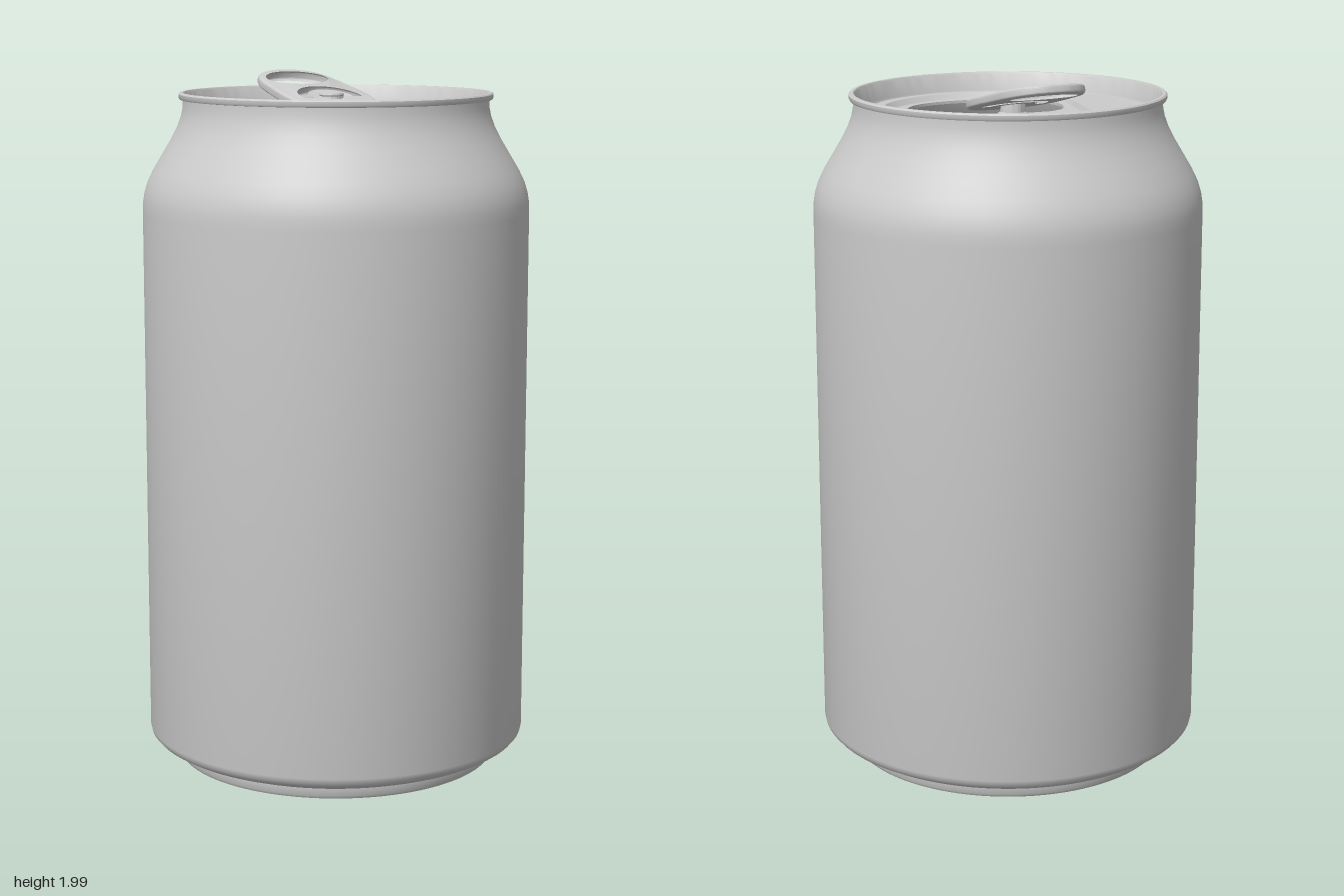
import * as THREE from 'three';
import { toCreasedNormals } from 'three/addons/utils/BufferGeometryUtils.js';

const metal = new THREE.MeshStandardMaterial({ color: 0xcccccc, side: THREE.DoubleSide });
const LID_Y = 1.885, PANEL_Y = 1.868;

function part(name, geometry, parent) {
  const mesh = new THREE.Mesh(geometry, metal);
  mesh.name = name;
  parent.add(mesh);
  return mesh;
}

// Points are [x, z] in plan; smooth curve through them
function smoothLoop(points, closed, count) {
  const v = points.map(([x, z]) => new THREE.Vector3(x, 0, z));
  const loop = new THREE.CatmullRomCurve3(v, closed, 'centripetal').getPoints(count);
  if (closed) loop.pop();
  return loop.map((p) => new THREE.Vector2(p.x, p.z));
}

const circle = (r, count) => Array.from({ length: count }, (_, i) => {
  const a = (i / count) * Math.PI * 2;
  return new THREE.Vector2(r * Math.cos(a), r * Math.sin(a));
});

// Plan outline to shape; laying it down with rotateX(-90 deg) restores z
function planShape(loop, holes = []) {
  const flip = (l) => l.map((p) => new THREE.Vector2(p.x, -p.y));
  const shape = new THREE.Shape(flip(loop));
  shape.holes = holes.map((h) => new THREE.Path(flip(h)));
  return shape;
}

const sheet = (loop, holes, y) =>
  new THREE.ShapeGeometry(planShape(loop, holes)).rotateX(-Math.PI / 2).translate(0, y, 0);

// Skin between closed plan loops at given heights
function loft(rings) {
  const n = rings[0].loop.length, pos = [], index = [];
  for (const { loop, y } of rings) for (const p of loop) pos.push(p.x, y, p.y);
  for (let r = 0; r < rings.length - 1; r++) {
    for (let i = 0; i < n; i++) {
      const a = r * n + i, b = r * n + ((i + 1) % n);
      index.push(a, b, a + n, b, b + n, a + n);
    }
  }
  const g = new THREE.BufferGeometry();
  g.setAttribute('position', new THREE.Float32BufferAttribute(pos, 3));
  g.setIndex(index);
  g.computeVertexNormals();
  return g;
}

function lathe(points, segments = 128, crease = 0.6) {
  const g = new THREE.LatheGeometry(points.map(([r, y]) => new THREE.Vector2(r, y)), segments);
  return toCreasedNormals(g, crease);
}

function scaled(loop, cx, cz, k) {
  return loop.map((p) => new THREE.Vector2(cx + (p.x - cx) * k, cz + (p.y - cz) * k));
}

export function createModel() {
  const can = new THREE.Group();
  can.name = 'drinkCan';

  // Domed base with standing ring
  part('base', lathe([
    [0, 0.085], [0.2, 0.082], [0.34, 0.073], [0.395, 0.06], [0.425, 0.038], [0.438, 0.012],
    [0.445, 0.003], [0.453, 0], [0.462, 0.003], [0.468, 0.012], [0.469, 0.035],
  ].map(([r, y]) => [r, y])), can);

  // Straight wall with tapered foot and curved neck
  part('body', lathe([
    [0.469, 0.035], [0.485, 0.04], [0.515, 0.052], [0.537, 0.065], [0.547, 0.077], [0.55, 0.09],
    [0.55, 1.6], [0.549, 1.63], [0.545, 1.655], [0.536, 1.685], [0.52, 1.718], [0.495, 1.76],
    [0.468, 1.805], [0.45, 1.84], [0.439, 1.87], [0.434, 1.895], [0.433, 1.916],
  ]), can);

  // Rolled seam and the groove inside it
  part('rim', lathe([
    [0.433, 1.916], [0.442, 1.917], [0.445, 1.922], [0.445, 1.932], [0.441, 1.936], [0.432, 1.936],
    [0.428, 1.931], [0.421, 1.885], [0.417, 1.876], [0.411, 1.872], [0.405, 1.875], [0.401, 1.882],
    [0.395, LID_Y],
  ]), can);

  // Lid with a sunken teardrop panel
  const teardrop = smoothLoop([
    [-0.15, -0.25], [0.05, -0.22], [0.25, -0.185], [0.335, -0.13], [0.37, -0.03], [0.355, 0.13],
    [0.27, 0.26], [0.13, 0.34], [0.02, 0.315], [-0.13, 0.19], [-0.28, 0.05], [-0.335, -0.05],
    [-0.33, -0.14], [-0.26, -0.22],
  ], true, 120);
  const shrink = (k) => scaled(teardrop, 0.02, 0.03, k);
  part('lid', sheet(circle(0.395, 128), [teardrop], LID_Y), can);
  part('panelStep', loft([
    { loop: teardrop, y: LID_Y }, { loop: shrink(0.988), y: LID_Y - 0.002 },
    { loop: shrink(0.965), y: PANEL_Y + 0.002 }, { loop: shrink(0.952), y: PANEL_Y },
  ]), can);

  // Mouth opening, straight along its hinge side
  const mouth = smoothLoop([
    [0.1, -0.115], [0.14, -0.13], [0.2, -0.135], [0.28, -0.1], [0.335, 0], [0.325, 0.1],
    [0.255, 0.22], [0.17, 0.285], [0.08, 0.308], [0.01, 0.28], [-0.05, 0.2], [-0.05, 0.14],
  ], false, 70);
  part('panel', sheet(shrink(0.952), [mouth], PANEL_Y), can);
  part('mouthEdge', loft([{ loop: mouth, y: PANEL_Y }, { loop: mouth, y: PANEL_Y - 0.008 }]), can);

  // Flap swung down into the can about the hinge line
  const hinge = new THREE.Vector2(-0.05, 0.14), normal = new THREE.Vector2(0.862, 0.507);
  const flap = sheet(mouth, [], PANEL_Y);
  const fp = flap.attributes.position;
  for (let i = 0; i < fp.count; i++) {
    const x = fp.getX(i), z = fp.getZ(i);
    const d = Math.max(0, (x - hinge.x) * normal.x + (z - hinge.y) * normal.y);
    fp.setXYZ(i, x - normal.x * d * 0.6, PANEL_Y - d * 0.917, z - normal.y * d * 0.6);
  }
  flap.computeVertexNormals();
  part('flap', flap, can);

  // Pull tab, nose towards local +x, tilted up at the finger end
  const tab = new THREE.Group();
  tab.name = 'pullTab';
  tab.position.set(-0.01, 1.911, 0.01);
  tab.rotation.set(0, -0.52, -0.23);
  can.add(tab);

  const bevel = 0.011;
  const outline = smoothLoop([
    [0.13, 0], [0.115, 0.065], [0.065, 0.112], [0, 0.13], [-0.12, 0.127], [-0.205, 0.115],
    [-0.255, 0.085], [-0.28, 0.04], [-0.285, 0], [-0.28, -0.04], [-0.255, -0.08], [-0.205, -0.105],
    [-0.12, -0.117], [0, -0.125], [0.065, -0.108], [0.115, -0.065],
  ], true, 96);
  const fingerHole = smoothLoop([
    [-0.13, 0], [-0.137, 0.055], [-0.165, 0.097], [-0.205, 0.098], [-0.245, 0.065], [-0.262, 0.01],
    [-0.25, -0.05], [-0.215, -0.087], [-0.175, -0.09], [-0.142, -0.055],
  ], true, 60);

  // C-shaped slot round the rivet, opening towards the nose
  const slot = [];
  const arc = (from, to, radius, shift) => {
    for (let i = 0; i <= 24; i++) {
      const a = from + ((to - from) * i) / 24;
      slot.push(new THREE.Vector2(radius * Math.cos(a) + shift, radius * Math.sin(a)));
    }
  };
  arc(1.35, 2 * Math.PI - 1.4, 0.1, -0.005);
  arc(2 * Math.PI - 1.4, 1.35, 0.064, 0);

  // Grow holes by the bevel so the finished openings keep their size
  const plate = new THREE.ExtrudeGeometry(
    planShape(outline, [scaled(fingerHole, -0.2, 0, 1.06), slot]),
    { depth: 0.006, bevelEnabled: true, bevelThickness: bevel, bevelSize: bevel, bevelOffset: -0.004, bevelSegments: 4 });
  plate.rotateX(-Math.PI / 2).translate(0, -0.003, 0);
  part('tabPlate', toCreasedNormals(plate, 0.7), tab);

  // Rivet holding the tab to the panel
  const rivet = part('rivet', lathe([
    [0.05, PANEL_Y], [0.036, 1.88], [0.034, 1.925], [0.036, 1.928], [0.034, 1.933], [0.028, 1.935], [0, 1.935],
  ], 48), can);
  rivet.position.set(-0.01, 0, 0.01);

  return can;
}
